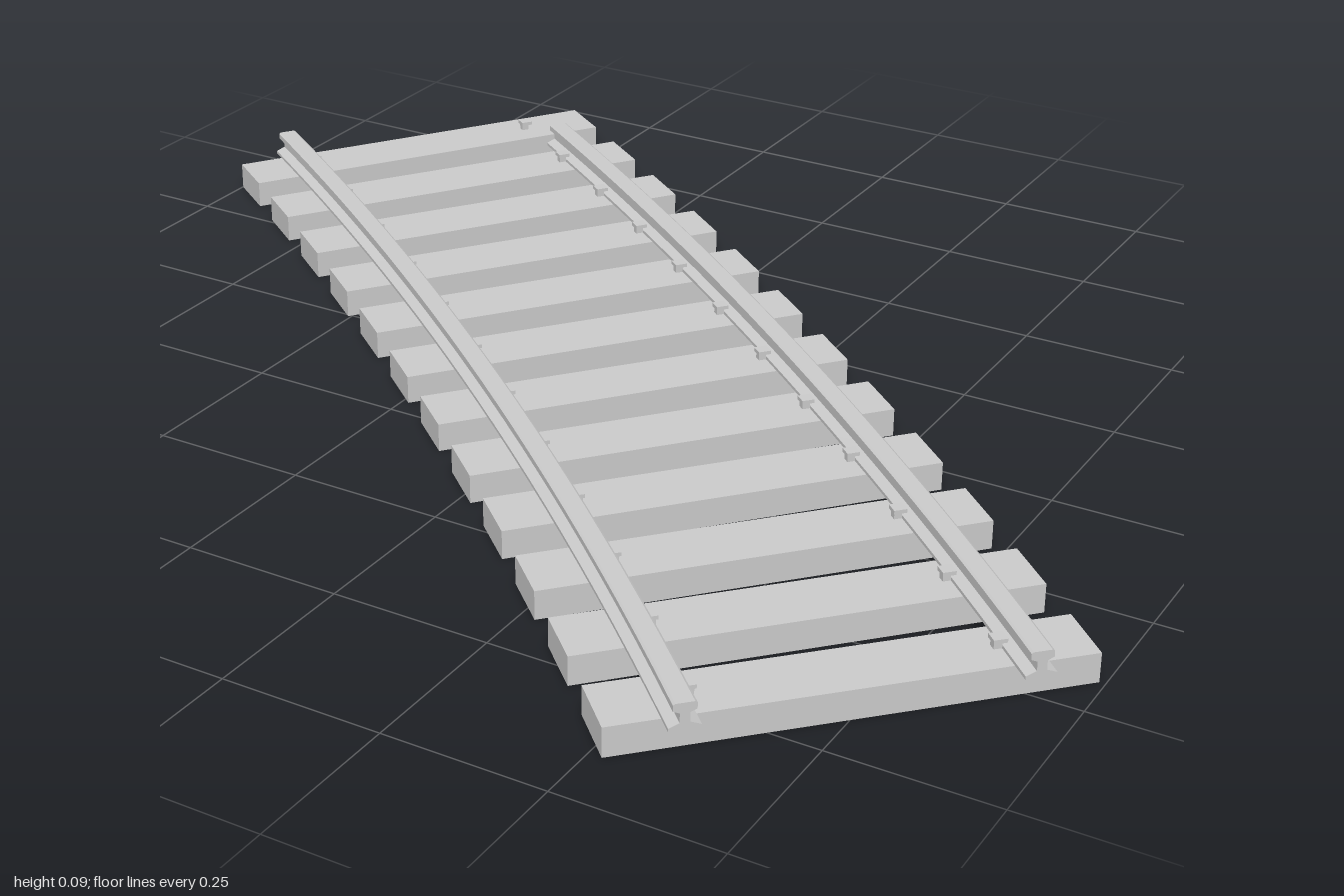
import * as THREE from 'three';
import { toCreasedNormals } from 'three/addons/utils/BufferGeometryUtils.js';

const R = 11.5;          // centre-line radius of the curve
const T = 0.08405;       // half angle between the first and last sleeper
const COUNT = 12;
const GAUGE = 0.237;     // rail offset from the centre line
const TOP = 0.045;       // sleeper height

// Local frame: x runs across the track (away from the curve centre), z along it
const onCurve = (across, t, y) => new THREE.Vector3(
  (R + across) * Math.cos(t) - R, y, (R + across) * Math.sin(t));

// Half of the rail section: foot, web and head
const HALF = [[0.022, 0], [0.022, 0.005], [0.007, 0.011], [0.007, 0.025],
  [0.016, 0.029], [0.016, 0.038], [0.013, 0.04]];

function railGeometry(across, start, end) {
  const pts = [...HALF, ...HALF.map(([x, y]) => [-x, y]).reverse()];
  const shape = new THREE.Shape(pts.map(([x, y]) => new THREE.Vector2(x, y)));
  const geo = new THREE.ExtrudeGeometry(shape, {
    depth: end - start, steps: 24, bevelEnabled: false });
  // Bend the straight rail along the arc
  const pos = geo.attributes.position;
  for (let i = 0; i < pos.count; i++) {
    const p = onCurve(across + pos.getX(i), (start + pos.getZ(i)) / R, TOP + pos.getY(i));
    pos.setXYZ(i, p.x, p.y, p.z);
  }
  return toCreasedNormals(geo, 0.4);
}

export function createModel() {
  const model = new THREE.Group();
  model.name = 'curvedTrack';
  const mat = new THREE.MeshStandardMaterial({ color: 0xcccccc });
  const add = (parent, name, geo) => {
    const mesh = new THREE.Mesh(geo, mat);
    mesh.name = name;
    parent.add(mesh);
    return mesh;
  };

  const track = new THREE.Group();
  track.name = 'track';
  track.rotation.y = 0.878;
  track.position.set(0.003, 0, -0.018);
  model.add(track);

  const sleeperGeo = new THREE.BoxGeometry(0.672, TOP, 0.1);
  const shaftGeo = new THREE.BoxGeometry(0.012, 0.012, 0.012);
  const headGeo = new THREE.BoxGeometry(0.02, 0.006, 0.02);

  // Sleepers, each with a spike on the inner side of both rails
  for (let i = 0; i < COUNT; i++) {
    const t = -T + (2 * T * i) / (COUNT - 1);
    const unit = new THREE.Group();
    unit.name = 'sleeperUnit';
    unit.position.copy(onCurve(0, t, 0));
    unit.rotation.y = -t;
    track.add(unit);
    add(unit, 'sleeper', sleeperGeo).position.y = TOP / 2;
    for (const side of [-1, 1]) {
      const x = side * (GAUGE - 0.028);
      add(unit, 'spikeShaft', shaftGeo).position.set(x, TOP + 0.005, 0);
      add(unit, 'spikeHead', headGeo).position.set(x + side * 0.002, TOP + 0.013, 0);
    }
  }

  // Rails, staggered at the starting end
  const s = R * T;
  add(track, 'outerRail', railGeometry(GAUGE, -s + 0.095, s + 0.083));
  add(track, 'innerRail', railGeometry(-GAUGE, -s - 0.077, s + 0.083));
  return model;
}
